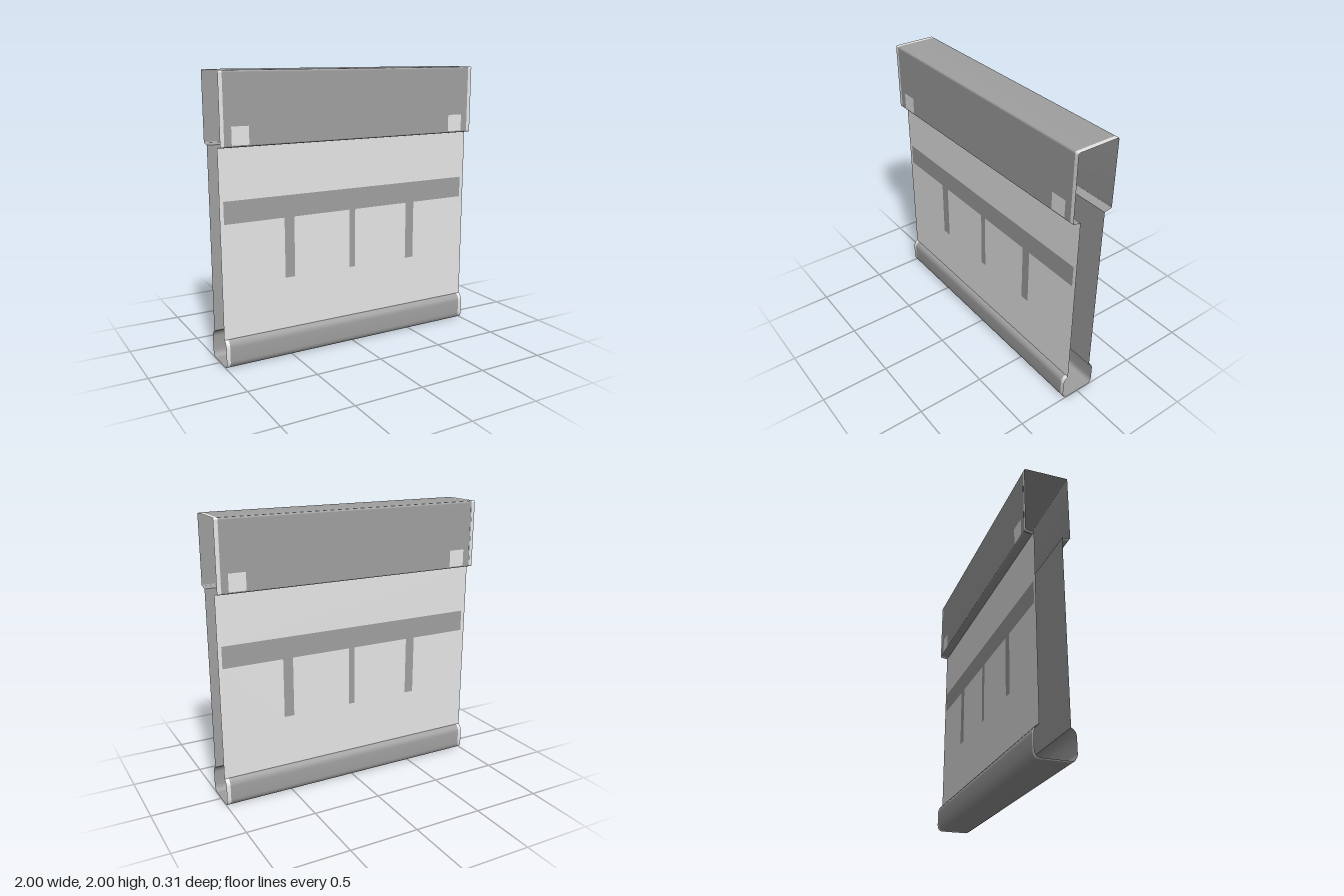
import * as THREE from 'three';
import { toCreasedNormals } from 'three/addons/utils/BufferGeometryUtils.js';

const light = new THREE.MeshStandardMaterial({ color: 0xe7e7e7 });
light.name = 'light grey';
const dark = new THREE.MeshStandardMaterial({ color: 0xa0a0a0 });
dark.name = 'dark grey';

// Half profiles as [z, y], running down the front
const crownHalf = [[0.14, 2], [0.152, 1.999], [0.156, 1.996], [0.157, 1.99], [0.157, 1.98]];
const lipHalf = [[0.157, 1.523], [0.157, 1.518], [0.152, 1.513], [0.14, 1.511], [0.1, 1.505]];
const rollHalf = [[0.1, 0.2], [0.115, 0.193], [0.128, 0.175], [0.133, 0.157], [0.134, 0.147],
  [0.134, 0.05], [0.133, 0.038], [0.128, 0.02], [0.117, 0.006], [0.1, 0], [0.085, 0]];
const mirrored = (half) => half.map(([z, y]) => [-z, y]).reverse();

const RIGHT = -0.972, LEFT = 0.97; // limits of the dark areas
const tabs = [-0.861, 0.857].map((x) => rect(x - 0.06, x + 0.06, 1.525, 1.647));

// Outline of the bar with its three hanging strips
const barOutline = [[RIGHT, 1.155], [RIGHT, 1]];
for (const [x0, x1] of [[-0.536, -0.462], [-0.022, 0.025], [0.465, 0.535]]) {
  barOutline.push([x0, 1], [x0, 0.57], [x1, 0.57], [x1, 1]);
}
barOutline.push([LEFT, 1], [LEFT, 1.155]);

function rect(x0, x1, y0, y1) {
  return [[x0, y0], [x1, y0], [x1, y1], [x0, y1]];
}

// Flat face towards +z, with openings for the areas of another colour
function face(outline, z, holes = []) {
  const toVectors = (points) => points.map(([x, y]) => new THREE.Vector2(x, y));
  const shape = new THREE.Shape(toVectors(outline));
  for (const hole of holes) shape.holes.push(new THREE.Path(toVectors(hole)));
  return new THREE.ShapeGeometry(shape).translate(0, 0, z);
}

// Sweeps a [z, y] profile along x; inward faces the inside
function sheet(profile, x0, x1, inward = false) {
  const pos = [];
  const index = [];
  for (const [z, y] of profile) pos.push(x0, y, z, x1, y, z);
  for (let i = 0; i < profile.length - 1; i++) {
    const a = 2 * i, b = a + 1, c = a + 2, d = a + 3;
    if (inward) index.push(a, d, c, a, b, d);
    else index.push(a, c, d, a, d, b);
  }
  const geo = new THREE.BufferGeometry();
  geo.setAttribute('position', new THREE.Float32BufferAttribute(pos, 3));
  geo.setIndex(index);
  return toCreasedNormals(geo, 0.9);
}

// Moves a closed profile inwards by a distance
function inset(loop, distance) {
  const n = loop.length;
  const moved = loop.map(([z, y], i) => {
    const [z0, y0] = loop[(i + n - 1) % n];
    const [z1, y1] = loop[(i + 1) % n];
    const k = distance / Math.hypot(z1 - z0, y1 - y0);
    return [z + (y1 - y0) * k, y - (z1 - z0) * k];
  });
  return [...moved, moved[0]];
}

function add(parent, name, geo, material) {
  const mesh = new THREE.Mesh(geo, material);
  mesh.name = name;
  parent.add(mesh);
}

// Light bands at both open ends
function addBands(parent, name, profile) {
  add(parent, name + 'RightBand', sheet(profile, -1, RIGHT), light);
  add(parent, name + 'LeftBand', sheet(profile, LEFT, 1), light);
}

// Panel, bar with strips, cap wall with tabs, and lip of one side
function side(name) {
  const group = new THREE.Group();
  group.name = name;
  add(group, 'panel', face(rect(-1, 1, 0.2, 1.505), 0.1, [barOutline]), light);
  add(group, 'barWithStrips', face(barOutline, 0.1), dark);
  add(group, 'capWall', face(rect(RIGHT, LEFT, 1.523, 1.98), 0.157, tabs), dark);
  for (const tab of tabs) add(group, 'tab', face(tab, 0.157), light);
  add(group, 'capLip', sheet(lipHalf, RIGHT, LEFT), dark);
  return group;
}

export function createModel() {
  const model = new THREE.Group();
  model.name = 'sleeve';
  const crown = [...mirrored(crownHalf), ...crownHalf];
  const cap = [...mirrored(lipHalf), ...crown, ...lipHalf];
  const roll = [...rollHalf, ...mirrored(rollHalf)];

  add(model, 'capTop', sheet(crown, RIGHT, LEFT), dark);
  addBands(model, 'cap', cap);
  add(model, 'bottomRoll', sheet(roll, RIGHT, LEFT), dark);
  addBands(model, 'bottomRoll', roll);

  const front = side('frontSide');
  const back = side('backSide');
  back.rotation.y = Math.PI;
  model.add(front, back);

  // Dark lining just inside the whole loop
  add(model, 'lining', sheet(inset([...cap, ...roll], 0.003), -1, 1, true), dark);
  return model;
}
